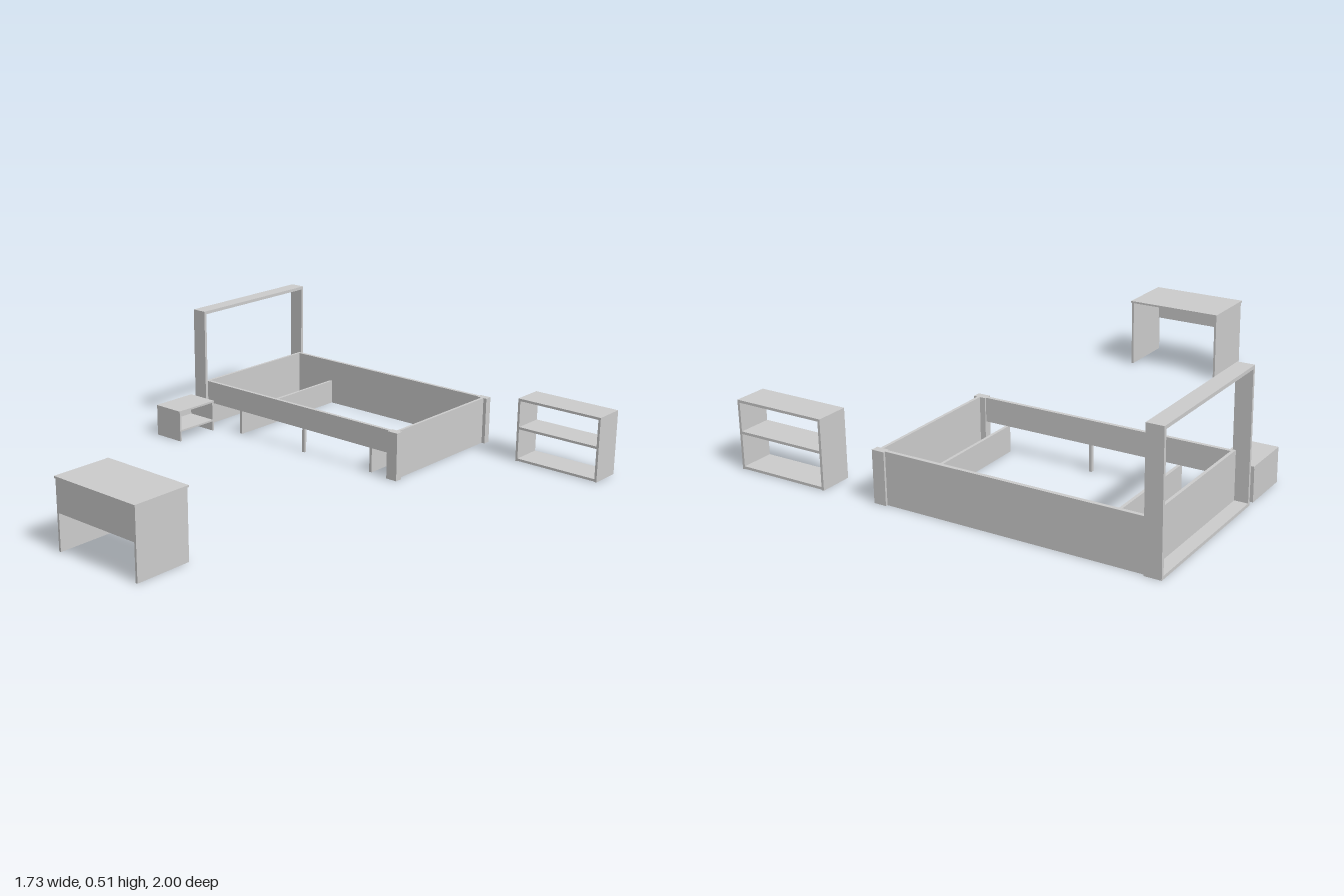
import * as THREE from 'three';

const material = new THREE.MeshStandardMaterial({ color: 0xcccccc, flatShading: true });

// Adds a board given by its extents along each axis.
function board(parent, name, [x0, x1], [y0, y1], [z0, z1]) {
  const mesh = new THREE.Mesh(new THREE.BoxGeometry(x1 - x0, y1 - y0, z1 - z0), material);
  mesh.position.set((x0 + x1) / 2, (y0 + y1) / 2, (z0 + z1) / 2);
  mesh.name = name;
  parent.add(mesh);
}

function part(parent, name) {
  const group = new THREE.Group();
  group.name = name;
  parent.add(group);
  return group;
}

function buildBed(parent) {
  const bed = part(parent, 'bed');

  // Open headboard frame of deep planks with a low inner panel
  const head = part(bed, 'headboard');
  const depth = [-0.865, -0.8];
  board(head, 'headboardTop', depth, [0.502, 0.515], [-0.99, -0.345]);
  board(head, 'headboardBase', depth, [0, 0.012], [-0.978, -0.357]);
  board(head, 'headboardPostBack', depth, [0, 0.502], [-0.99, -0.978]);
  board(head, 'headboardPostFront', depth, [0, 0.502], [-0.357, -0.345]);
  board(head, 'headboardPanel', [-0.812, -0.8], [0.012, 0.2], [-0.978, -0.357]);

  // Footboard between two corner posts
  board(bed, 'footboard', [0.233, 0.245], [0, 0.2], [-0.96, -0.38]);
  board(bed, 'footPostBack', [0.21, 0.26], [0, 0.2], [-0.99, -0.96]);
  board(bed, 'footPostFront', [0.21, 0.26], [0, 0.2], [-0.38, -0.348]);

  // Full back rail; the front rail is raised off the floor
  board(bed, 'backRail', [-0.8, 0.21], [0, 0.2], [-0.981, -0.966]);
  board(bed, 'frontRail', [-0.8, 0.21], [0.105, 0.2], [-0.374, -0.359]);

  // Cross supports and the slim middle leg
  for (const x of [-0.604, 0.117]) {
    board(bed, 'crossSupport', [x - 0.006, x + 0.006], [0, 0.105], [-0.966, -0.362]);
  }
  board(bed, 'middleLeg', [-0.25, -0.238], [0, 0.105], [-0.374, -0.362]);
}

function buildNightstand(parent) {
  const stand = part(parent, 'nightstand');
  const x = [-0.865, -0.725];
  board(stand, 'nightstandTop', x, [0.127, 0.135], [-0.318, -0.11]);
  board(stand, 'nightstandSideBack', x, [0, 0.127], [-0.316, -0.308]);
  board(stand, 'nightstandSideFront', x, [0, 0.127], [-0.12, -0.112]);
  board(stand, 'nightstandShelf', x, [0.042, 0.05], [-0.308, -0.12]);
  board(stand, 'nightstandBackPanel', [-0.865, -0.857], [0, 0.127], [-0.308, -0.12]);
}

function buildDesk(parent) {
  const desk = part(parent, 'desk');
  board(desk, 'deskTop', [-0.198, 0.214], [0.277, 0.285], [0.75, 1]);
  for (const x of [-0.195, 0.202]) {
    board(desk, 'deskSide', [x, x + 0.009], [0, 0.277], [0.754, 0.996]);
  }
  board(desk, 'deskModestyPanel', [-0.186, 0.202], [0.148, 0.277], [0.987, 0.996]);
}

function buildBookcase(parent) {
  const bookcase = part(parent, 'bookcase');
  const z = [-1, -0.867];
  for (const x of [0.478, 0.85]) {
    board(bookcase, 'bookcaseSide', [x, x + 0.01], [0, 0.27], z);
  }
  for (const y of [0.002, 0.139, 0.26]) {
    board(bookcase, 'bookcaseShelf', [0.488, 0.85], [y, y + 0.01], z);
  }
}

export function createModel() {
  const model = new THREE.Group();
  model.name = 'bedroomFurniture';
  buildBed(model);
  buildNightstand(model);
  buildDesk(model);
  buildBookcase(model);
  return model;
}
